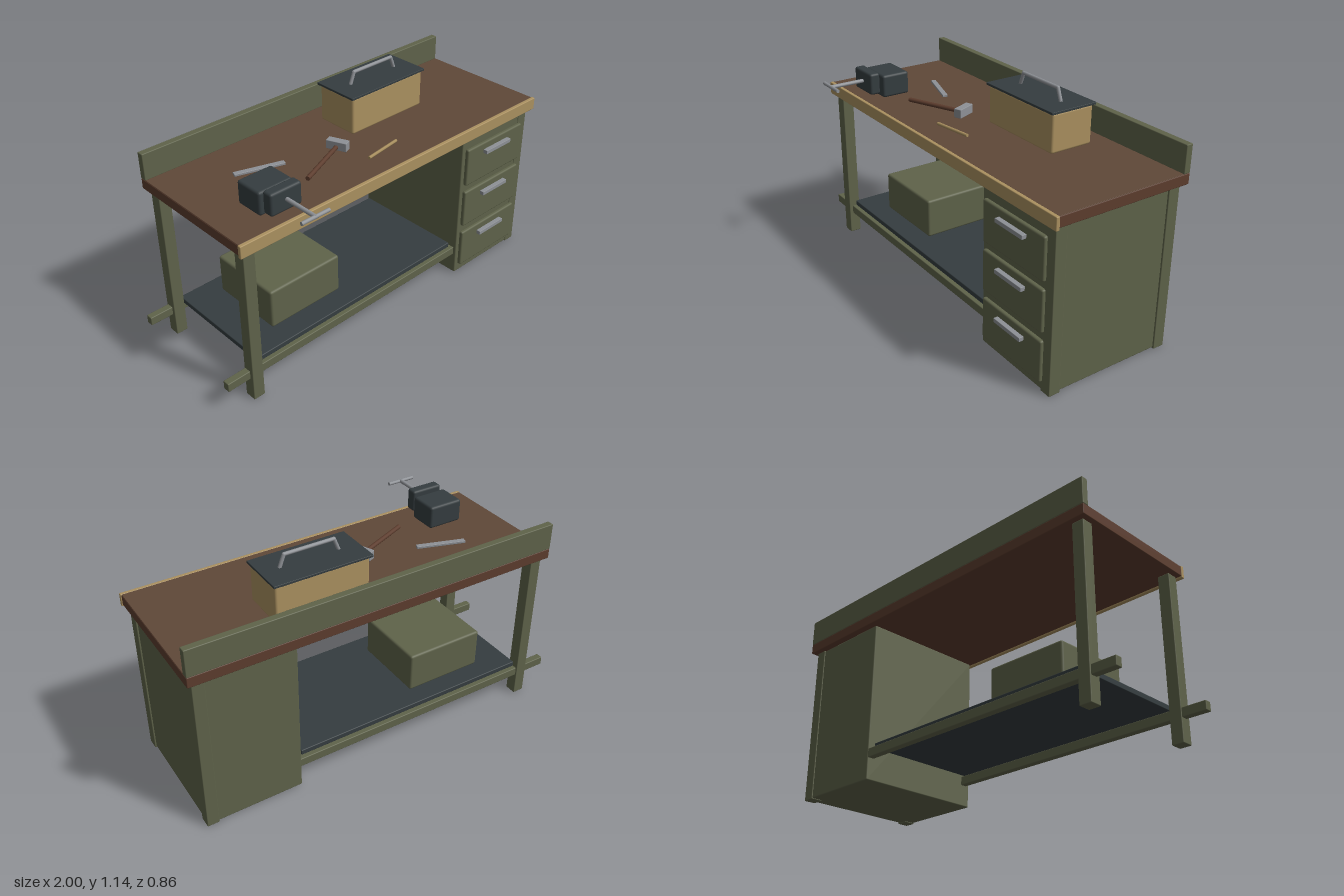
import * as THREE from 'three';
import { RoundedBoxGeometry } from 'three/addons/geometries/RoundedBoxGeometry.js';

const mat = (name, color) => {
  const m = new THREE.MeshStandardMaterial({ color });
  m.name = name;
  return m;
};

export function createModel() {
  const root = new THREE.Group();
  root.name = 'workbench';
  const green = mat('olive paint', 0x5f634a);
  const brown = mat('dark wood', 0x5d3d2e);
  const topBrown = mat('worktop wood', 0x5f4838);
  const tan = mat('pale wood', 0xab9160);
  const slate = mat('dark slate', 0x353d40);
  const steel = mat('steel', 0x8e9196);

  const add = (name, geo, material, parent = root) => {
    const m = new THREE.Mesh(geo, material);
    m.name = name;
    parent.add(m);
    return m;
  };
  // Softened box given by its limits along each axis
  const box = (name, material, x0, x1, y0, y1, z0, z1, r = 0.004, parent = root) => {
    const m = add(name, new RoundedBoxGeometry(x1 - x0, y1 - y0, z1 - z0, 2, r), material, parent);
    m.position.set((x0 + x1) / 2, (y0 + y1) / 2, (z0 + z1) / 2);
    return m;
  };
  // Round bar between two points
  const bar = (name, material, a, b, r, parent = root, sides = 12) => {
    const p = new THREE.Vector3(...a), q = new THREE.Vector3(...b);
    const d = q.clone().sub(p);
    const m = add(name, new THREE.CylinderGeometry(r, r, d.length(), sides), material, parent);
    m.position.copy(p).add(q).multiplyScalar(0.5);
    m.quaternion.setFromUnitVectors(new THREE.Vector3(0, 1, 0), d.normalize());
    return m;
  };
  const group = (name) => {
    const g = new THREE.Group();
    g.name = name;
    root.add(g);
    return g;
  };

  // Worktop with front trim and back board
  box('worktop', brown, -0.905, 0.99, 0.82, 0.872, -0.43, 0.275);
  box('worktopSurface', topBrown, -0.903, 0.988, 0.868, 0.874, -0.428, 0.273, 0.001);
  box('frontTrim', tan, -0.908, 0.995, 0.812, 0.875, 0.272, 0.291);
  box('backBoard', green, -0.905, 0.99, 0.872, 1.006, -0.431, -0.396);

  // Legs
  for (const x of [-0.85, 0.935]) {
    for (const z of [0.235, -0.375]) {
      box('leg', green, x - 0.03, x + 0.03, 0, 0.82, z - 0.03, z + 0.03);
    }
  }

  // Lower rails and shelf
  for (const z of [0.228, -0.38]) {
    box('rail', green, -1, 0.5, 0.115, 0.16, z - 0.018, z + 0.018);
  }
  box('shelf', slate, -0.82, 0.46, 0.16, 0.187, -0.375, 0.225);
  box('storageBox', green, -0.642, -0.222, 0.187, 0.392, -0.28, 0.115, 0.012);

  // Drawer cabinet
  box('cabinet', green, 0.475, 0.957, 0.005, 0.818, -0.4, 0.262, 0.006);
  for (const y of [0.155, 0.403, 0.648]) {
    box('drawer', green, 0.497, 0.917, y - 0.104, y + 0.104, 0.258, 0.282, 0.009);
    box('drawerHandle', steel, 0.615, 0.802, y + 0.046, y + 0.067, 0.278, 0.305, 0.002);
  }

  // Chest with lid and bent handle
  const chest = group('toolChest');
  box('chestBody', tan, 0.045, 0.517, 0.872, 1.062, -0.297, -0.069, 0.012, chest);
  box('chestLid', slate, 0.034, 0.525, 1.06, 1.072, -0.308, -0.06, 0.002, chest);
  const grip = [[0.137, 1.07], [0.16, 1.129], [0.408, 1.129], [0.431, 1.07]].map(([x, y]) => [x, y, -0.183]);
  for (let i = 0; i < 3; i++) bar('chestHandle', steel, grip[i], grip[i + 1], 0.009, chest);
  for (const p of [grip[1], grip[2]]) {
    add('chestHandleCorner', new THREE.SphereGeometry(0.009, 12, 8), steel, chest).position.set(...p);
  }

  // Vise
  const vise = group('vise');
  box('viseBody', slate, -0.716, -0.531, 0.872, 0.989, 0.027, 0.176, 0.013, vise);
  box('viseJaw', slate, -0.707, -0.54, 0.896, 1.006, 0.188, 0.243, 0.012, vise);
  bar('viseScrew', steel, [-0.623, 0.953, 0.1], [-0.623, 0.953, 0.425], 0.01, vise);
  bar('viseBar', steel, [-0.698, 0.953, 0.421], [-0.548, 0.953, 0.421], 0.009, vise);

  // Hammer
  const hammer = group('hammer');
  bar('hammerHandle', brown, [-0.393, 0.892, 0.105], [-0.105, 0.892, -0.018], 0.011, hammer);
  const head = add('hammerHead', new RoundedBoxGeometry(0.04, 0.045, 0.105, 2, 0.003), steel, hammer);
  head.position.set(-0.098, 0.898, -0.021);
  head.rotation.y = 0.39;

  // Flat file and pencil
  const file = add('file', new RoundedBoxGeometry(0.245, 0.012, 0.026, 2, 0.002), steel);
  file.position.set(-0.48, 0.88, -0.125);
  file.rotation.y = -0.31;
  bar('pencil', tan, [-0.06, 0.882, 0.15], [0.145, 0.882, 0.121], 0.008, root, 6);

  return root;
}
